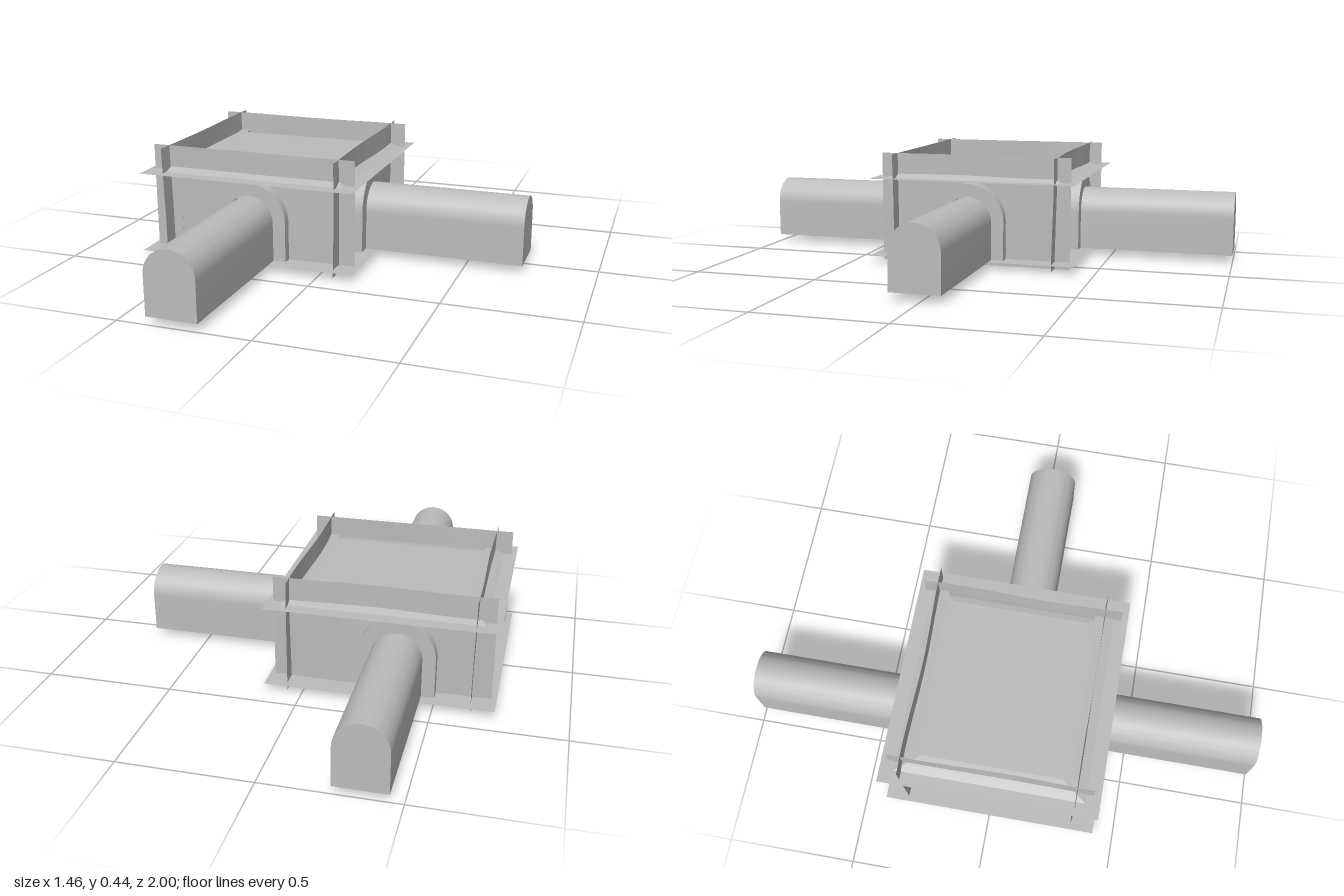
import * as THREE from 'three';
import { toCreasedNormals } from 'three/addons/utils/BufferGeometryUtils.js';

const CX = -0.2925; // centre of the room in x
const FLOOR = 0.03;

export function createModel() {
  const group = new THREE.Group();
  const stone = new THREE.MeshStandardMaterial({ color: 0xbcbcbc, side: THREE.DoubleSide });
  stone.name = 'grey stone';

  const add = (geometry, name, x = 0, y = 0, z = 0, turn = 0) => {
    const mesh = new THREE.Mesh(geometry, stone);
    mesh.name = name;
    mesh.position.set(x, y, z);
    mesh.rotation.y = turn;
    group.add(mesh);
    return mesh;
  };

  // Slightly uneven sheet used for the walls
  const sheet = (w, h, phase) => {
    const g = new THREE.PlaneGeometry(w, h, 14, 6);
    const p = g.attributes.position;
    for (let i = 0; i < p.count; i++) {
      const x = p.getX(i), y = p.getY(i);
      p.setZ(i, 0.005 * Math.sin(x * 9 + phase) * Math.cos(y * 6 + phase));
    }
    g.computeVertexNormals();
    return g;
  };

  // Walls overlap at the corners and run through floor and ceiling
  add(sheet(0.835, 0.444, 0.4), 'frontWall', CX, 0.222, 0.327);
  add(sheet(0.835, 0.444, 1.9), 'backWall', CX, 0.222, -0.333, Math.PI);
  add(sheet(0.785, 0.444, 2.6), 'leftWall', 0.06, 0.222, 0, Math.PI / 2);
  add(sheet(0.785, 0.444, 0.9), 'rightWall', -0.642, 0.222, 0, -Math.PI / 2);

  // Floor
  const floor = new THREE.PlaneGeometry(0.875, 0.84);
  floor.rotateX(-Math.PI / 2);
  add(floor, 'floor', CX, FLOOR, 0);

  // Ceiling: flat rim, then a shallow stepped rise to a flat centre
  const rings = [
    [0.4375, 0.42, 0.345], [0.385, 0.365, 0.345], [0.36, 0.33, 0.357],
    [0.338, 0.3, 0.365], [0.315, 0.27, 0.369],
  ];
  const points = [], index = [];
  rings.forEach(([hx, hz, y], r) => {
    points.push(-hx, y, hz, hx, y, hz, hx, y, -hz, -hx, y, -hz);
    if (r === 0) return;
    for (let i = 0; i < 4; i++) {
      const a = (r - 1) * 4 + i, b = (r - 1) * 4 + (i + 1) % 4;
      index.push(a, b, b + 4, a, b + 4, a + 4);
    }
  });
  const top = (rings.length - 1) * 4;
  index.push(top, top + 1, top + 2, top, top + 2, top + 3);
  let ceiling = new THREE.BufferGeometry();
  ceiling.setAttribute('position', new THREE.Float32BufferAttribute(points, 3));
  ceiling.setIndex(index);
  ceiling = ceiling.toNonIndexed();
  ceiling.computeVertexNormals();
  add(ceiling, 'ceiling', CX, 0, 0);

  // Corner posts inside the room
  for (const x of [-0.62, 0.04])
    for (const z of [-0.313, 0.307])
      add(new THREE.BoxGeometry(0.04, 0.335, 0.035), 'cornerPost', x, 0.1975, z);

  // Outline of a round-topped opening
  const archPath = (path, r, spring) => {
    path.moveTo(-r, FLOOR);
    path.lineTo(r, FLOOR);
    path.lineTo(r, spring);
    path.absarc(0, spring, r, 0, Math.PI, false);
    path.lineTo(-r, FLOOR);
    return path;
  };

  // Tunnel body, extruded along +z
  const tunnelGeometry = (length) => toCreasedNormals(new THREE.ExtrudeGeometry(
    archPath(new THREE.Shape(), 0.097, 0.182),
    { depth: length, bevelEnabled: false, curveSegments: 14 }), 0.6);

  // Stone surround: two legs and a half ring
  const surroundGeometry = () => {
    const R = 0.147, r = 0.096, spring = 0.186;
    const s = new THREE.Shape();
    s.moveTo(R, FLOOR);
    s.lineTo(R, spring);
    s.absarc(0, spring, R, 0, Math.PI, false);
    s.lineTo(-R, FLOOR);
    s.lineTo(-r, FLOOR);
    s.lineTo(-r, spring);
    s.absarc(0, spring, r, Math.PI, 0, true);
    s.lineTo(r, FLOOR);
    return toCreasedNormals(new THREE.ExtrudeGeometry(s,
      { depth: 0.08, bevelEnabled: false, curveSegments: 10 }), 0.6);
  };

  // Three passages: wall position, heading and length from the wall
  const passages = [
    ['front', -0.29, 0.327, 0, 0.673],
    ['back', -0.355, -0.333, Math.PI, 0.667],
    ['left', 0.06, 0.017, Math.PI / 2, 0.665],
  ];
  for (const [side, x, z, turn, length] of passages) {
    const dx = Math.sin(turn), dz = Math.cos(turn);
    add(tunnelGeometry(length), side + 'Tunnel', x, 0, z, turn);
    add(surroundGeometry(), side + 'ArchSurround', x - dx * 0.04, 0, z - dz * 0.04, turn);
  }
  return group;
}
